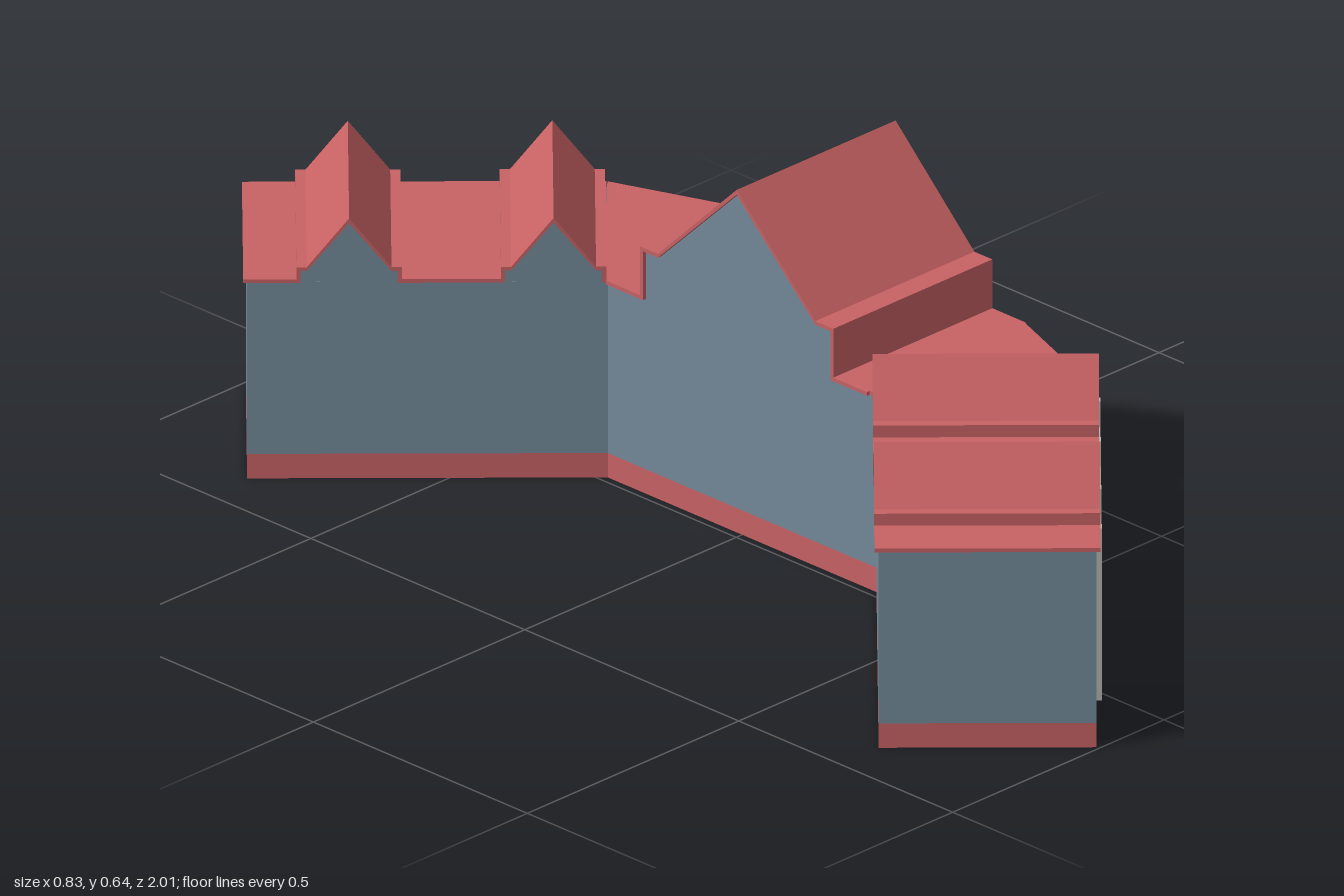
import * as THREE from 'three';

const mat = (color) => new THREE.MeshStandardMaterial({ color, side: THREE.DoubleSide, flatShading: true });
const DEPTH = 0.362, EAVE = 0.37, WALL_TOP = 0.362, BASE_TOP = 0.045;

export function createModel() {
  const model = new THREE.Group();
  model.name = 'building';
  const wallMat = mat(0x748a99), redMat = mat(0xc86264), glassMat = mat(0x86c8c6);
  const frameMat = mat(0xb4b4b0), stepMat = mat(0x666666);

  function add(parent, name, geometry, material, x = 0, y = 0, z = 0) {
    const mesh = new THREE.Mesh(geometry, material);
    mesh.name = name;
    mesh.position.set(x, y, z);
    parent.add(mesh);
    return mesh;
  }
  const shapeOf = (pts) => new THREE.Shape(pts.map(([x, y]) => new THREE.Vector2(x, y)));
  const extrude = (shape, depth) => new THREE.ExtrudeGeometry(shape, { depth, bevelEnabled: false });

  // Vertical band that follows the closed plan, from y0 to y1
  function band(plan, y0, y1) {
    const pos = [];
    plan.forEach(([ax, az], i) => {
      const [bx, bz] = plan[(i + 1) % plan.length];
      pos.push(ax, y0, az, ax, y1, az, bx, y1, bz, ax, y0, az, bx, y1, bz, bx, y0, bz);
    });
    const g = new THREE.BufferGeometry();
    g.setAttribute('position', new THREE.Float32BufferAttribute(pos, 3));
    g.computeVertexNormals();
    return g;
  }

  // Eave line from a to b, interrupted by stepped gables, lowered by t
  function roofLine(a, b, gables, t) {
    const pts = [[a, EAVE - t]];
    for (const { c, half, step, shoulder, peak } of gables) {
      const w = half - t;
      pts.push([c - w, EAVE - t], [c - w, shoulder - t], [c - half + step, shoulder - t], [c, peak - t * 1.3],
        [c + half - step, shoulder - t], [c + w, shoulder - t], [c + w, EAVE - t]);
    }
    pts.push([b, EAVE - t]);
    return pts;
  }

  // Thin roof sheet running front to back, with gable walls at both ends
  function addRoof(group, a, b, gables, dir) {
    const flip = (pts) => pts.map(([x, y]) => [x * dir, y]);
    const sheet = [...roofLine(a, b, gables, 0), ...roofLine(a, b, gables, 0.007).reverse()];
    add(group, 'roof', extrude(shapeOf(flip(sheet)), DEPTH + 0.014), redMat, 0, 0, -DEPTH - 0.007);
    const fill = [...roofLine(a, b, gables, 0.004), [b, WALL_TOP], [a, WALL_TOP]];
    for (const z of [0, -DEPTH]) {
      add(group, z ? 'rearGableWall' : 'frontGableWall', new THREE.ShapeGeometry(shapeOf(flip(fill))), wallMat, 0, 0, z);
    }
  }

  // Walls and base around the whole bent plan (x, z)
  const half = [[0.37, 0.3], [0.27, 0.57], [-0.154, 0.994], [-0.41, 0.738], [0.014, 0.314]];
  const plan = [...half, ...half.map(([x, z]) => [x, -z]).reverse()].reverse();
  add(model, 'walls', band(plan, BASE_TOP, WALL_TOP), wallMat);
  add(model, 'base', band(plan, 0, BASE_TOP), redMat);

  // Central block, facing +x
  const centre = new THREE.Group();
  centre.name = 'centralBlock';
  centre.position.x = 0.37;
  centre.rotation.y = Math.PI / 2;
  model.add(centre);
  addRoof(centre, -0.305, 0.305, [{ c: 0, half: 0.226, step: 0.042, shoulder: 0.46, peak: 0.64 }], 1);

  // Door and gable window: frame with a hole, pane inside
  function addOpening(name, outer, inner) {
    const shape = shapeOf(outer);
    shape.holes.push(shapeOf(inner));
    add(centre, name + 'Frame', extrude(shape, 0.009), frameMat);
    add(centre, name + 'Glass', extrude(shapeOf(inner), 0.003), glassMat);
  }
  const rect = (w, y0, y1) => [[-w, y0], [w, y0], [w, y1], [-w, y1]];
  const house = (w, y0, y1, top) => [[-w, y0], [w, y0], [w, y1], [0, top], [-w, y1]];
  addOpening('door', rect(0.077, BASE_TOP, 0.227), rect(0.069, BASE_TOP + 0.002, 0.219));
  addOpening('gableWindow', house(0.087, 0.384, 0.458, 0.51), house(0.076, 0.393, 0.452, 0.497));

  // Entrance steps, widening outward
  [[0.02, 0.022, 0.045], [0.045, 0, 0.022]].forEach(([out, y, top]) => {
    const w = 0.08 + out * 0.45;
    const g = extrude(shapeOf([[-0.08, 0], [0.08, 0], [w, -out], [-w, -out]]), top - y);
    g.rotateX(-Math.PI / 2);
    add(centre, 'entranceStep', g, stepMat, 0, y, 0);
  });

  // Two wings turned by 45 degrees, with the flat corner roofs that join them
  for (const side of [1, -1]) {
    const wing = new THREE.Group();
    wing.name = side > 0 ? 'frontWing' : 'rearWing';
    wing.position.set(0.27, 0, 0.57 * side);
    wing.rotation.y = side > 0 ? Math.PI / 4 : Math.PI * 3 / 4;
    model.add(wing);
    const dir = -side;
    const gables = [0.09, 0.43].map((c) => ({ c, half: 0.0875, step: 0.017, shoulder: 0.392, peak: 0.482 }));
    addRoof(wing, 0, 0.606, gables, dir);

    // Window wall: posts, rails and panes
    const posts = [0.017, 0.17, 0.354, 0.505], rails = [0.098, 0.203, 0.307];
    for (const s of posts) {
      add(wing, 'windowPost', new THREE.BoxGeometry(0.016, WALL_TOP - BASE_TOP, 0.012), frameMat,
        s * dir, (WALL_TOP + BASE_TOP) / 2, 0.004);
    }
    const mid = (posts[0] + posts[3]) / 2, span = posts[3] - posts[0];
    for (const y of rails) {
      add(wing, 'windowRail', new THREE.BoxGeometry(span, 0.017, 0.01), frameMat, mid * dir, y, 0.004);
    }
    for (let i = 0; i < 3; i++) {
      for (let j = 0; j < 2; j++) {
        add(wing, 'windowPane', new THREE.BoxGeometry(posts[i + 1] - posts[i], rails[j + 1] - rails[j], 0.004),
          glassMat, dir * (posts[i] + posts[i + 1]) / 2, (rails[j] + rails[j + 1]) / 2, 0.001);
      }
    }

    // Flat corner roof, drawn in plan
    const corner = [[0.376, 0.302], [0.275, 0.573], [0.007, 0.313], [0.007, 0.302]];
    const g = extrude(shapeOf(corner.map(([x, z]) => [x, z * side])), 0.007);
    g.rotateX(Math.PI / 2);
    add(model, 'cornerRoof', g, redMat, 0, EAVE, 0);
  }
  return model;
}
